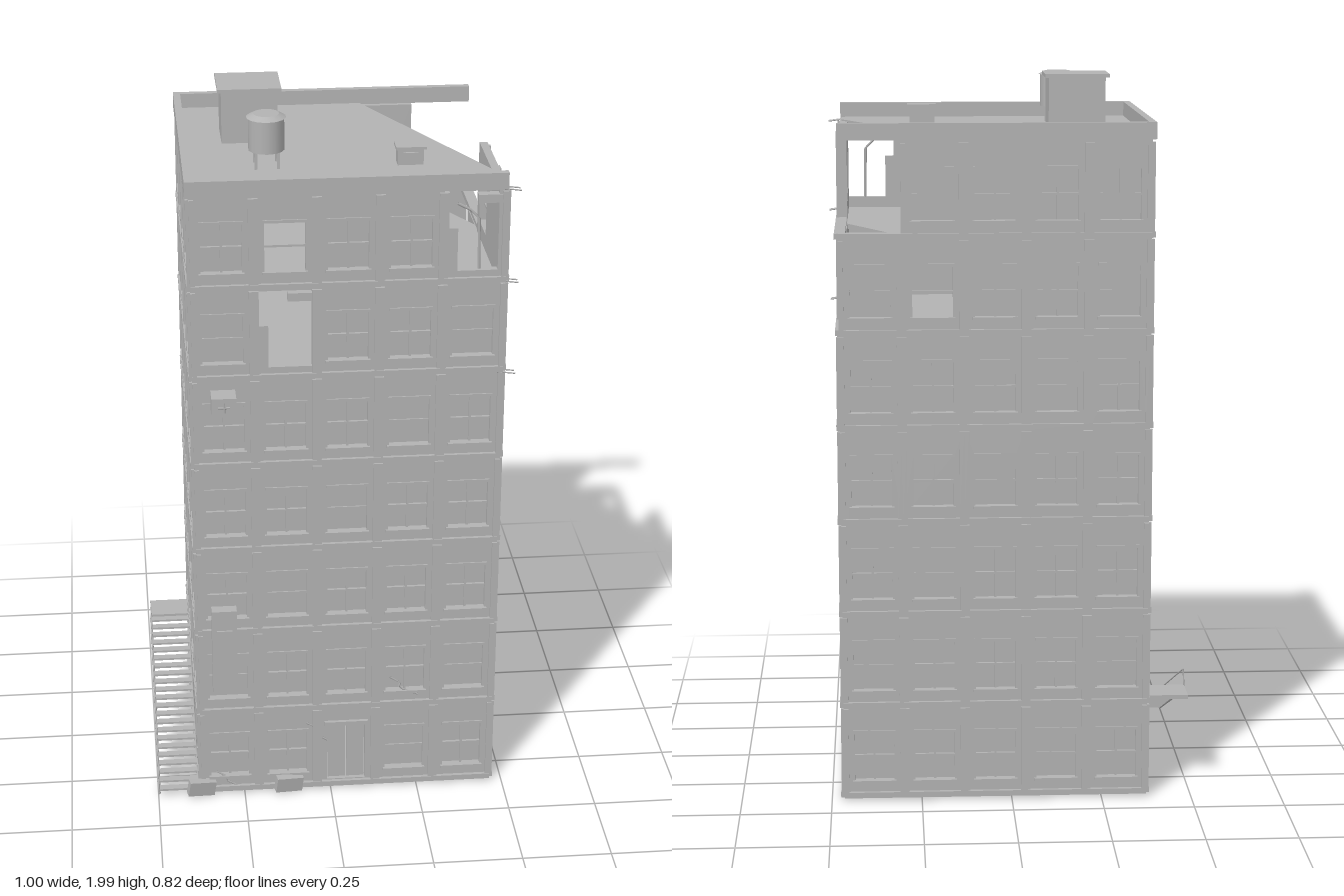
import * as THREE from 'three';

const concrete = new THREE.MeshStandardMaterial({ color: 0xb3b3b3, side: THREE.DoubleSide });
concrete.name = 'concrete grey';

const BASE = 0.02, FLOOR = 0.26, FLOORS = 7;
const CX = 0.045, CZ = -0.027, HX = 0.42, HZ = 0.37;
const ROOF = BASE + FLOOR * FLOORS;

function add(parent, geometry, name, x = 0, y = 0, z = 0) {
  const mesh = new THREE.Mesh(geometry, concrete);
  mesh.name = name;
  mesh.position.set(x, y, z);
  parent.add(mesh);
  return mesh;
}

// Box given by its lower and upper limits on each axis
function block(parent, name, x0, x1, y0, y1, z0, z1) {
  return add(parent, new THREE.BoxGeometry(x1 - x0, y1 - y0, z1 - z0), name,
    (x0 + x1) / 2, (y0 + y1) / 2, (z0 + z1) / 2);
}

// Thin bar running through a list of points
function bar(parent, name, points, r = 0.003) {
  const path = new THREE.CurvePath();
  const v = points.map(p => new THREE.Vector3(...p));
  for (let i = 1; i < v.length; i++) path.add(new THREE.LineCurve3(v[i - 1], v[i]));
  return add(parent, new THREE.TubeGeometry(path, (v.length - 1) * 3, r, 5), name);
}

function rectPath(path, x0, x1, y0, y1) {
  path.moveTo(x0, y0);
  path.lineTo(x1, y0);
  path.lineTo(x1, y1);
  path.lineTo(x0, y1);
  path.closePath();
  return path;
}

// One bay of one storey; state is whole, open, ruin, gone or door
function bay(wall, u0, u1, y, state, variant) {
  block(wall, 'floorBand', u0, u1, y - 0.004, y + 0.012, -0.02, 0.01);
  if (state === 'gone') return;
  const mid = (u0 + u1) / 2;
  for (const [a, b] of [[u0, u0 + 0.013], [u1 - 0.013, u1]])
    block(wall, 'pilaster', a, b, y + 0.012, y + FLOOR - 0.008, -0.02, 0.008);

  if (state === 'ruin') {
    block(wall, 'brokenSill', u0, u1, y, y + 0.03, -0.022, 0);
    block(wall, 'brokenWall', u0, u0 + 0.038, y + 0.03, y + 0.15, -0.022, 0);
    block(wall, 'hangingLintel', u0 + 0.09, u0 + 0.16, y + 0.22, y + 0.243, -0.022, 0.004);
    return;
  }

  const hw = (u1 - u0) * 0.325;
  const low = state === 'door' ? 0.015 : 0.045, high = state === 'door' ? 0.2 : 0.182;
  const y0 = y + low, y1 = y + high;
  const shape = rectPath(new THREE.Shape(), u0, u1, y, y + FLOOR);
  shape.holes.push(rectPath(new THREE.Path(), mid - hw, mid + hw, y0, y1));
  add(wall, new THREE.ExtrudeGeometry(shape, { depth: 0.022, bevelEnabled: false }), 'wallPanel', 0, 0, -0.022);

  if (state === 'door') {
    for (const s of [-1, 1]) {
      const c = mid + s * hw / 2;
      block(wall, 'doorLeaf', c - hw / 2 + 0.002, c + hw / 2 - 0.002, y0, y1, -0.02, -0.012);
    }
    block(wall, 'doorCanopy', mid - hw - 0.008, mid + hw + 0.008, y1, y1 + 0.012, 0, 0.01);
    return;
  }

  // Window frame, sill and glazing
  const rail = y0 + (y1 - y0) * 0.5;
  block(wall, 'windowSill', mid - hw - 0.006, mid + hw + 0.006, y0 - 0.008, y0, -0.01, 0.008);
  block(wall, 'windowHead', mid - hw - 0.004, mid + hw + 0.004, y1, y1 + 0.008, -0.01, 0.004);
  block(wall, 'windowRail', mid - hw, mid + hw, rail - 0.003, rail + 0.003, -0.018, -0.008);
  if (state === 'open') return;
  block(wall, 'windowPane', mid - hw, mid + hw, y0, y1, -0.022, -0.016);
  if (variant) block(wall, 'windowMullion', mid - 0.003, mid + 0.003, y0, y1, -0.018, -0.008);
  else block(wall, 'windowBlind', mid - hw, mid + hw, rail, y1, -0.016, -0.012);
}

// A full side: local x runs along the wall and +z points outwards
function buildWall(root, name, x, z, turn, half, bays, damage) {
  const wall = new THREE.Group();
  wall.name = name;
  wall.position.set(x, 0, z);
  wall.rotation.y = turn;
  const w = 2 * half / bays;
  for (let f = 0; f < FLOORS; f++)
    for (let b = 0; b < bays; b++)
      bay(wall, -half + b * w, -half + (b + 1) * w, BASE + f * FLOOR,
        damage[f + '-' + b] || 'whole', (f * 3 + b * 5 + bays) % 4 !== 0);
  root.add(wall);
}

// Slab whose far corner at +x, -z is broken off by cutX and cutZ
function slab(root, name, top, cutX, cutZ) {
  const x0 = CX - HX + 0.01, x1 = CX + HX - 0.004, z0 = CZ - HZ + 0.004, z1 = CZ + HZ - 0.01;
  const s = new THREE.Shape();
  s.moveTo(x0, -z1);
  s.lineTo(x1, -z1);
  s.lineTo(x1, -z0 - cutZ);
  if (cutX) s.lineTo(x1 - cutX, -z0);
  s.lineTo(x0, -z0);
  s.closePath();
  const g = new THREE.ExtrudeGeometry(s, { depth: 0.014, bevelEnabled: false });
  g.rotateX(-Math.PI / 2);
  add(root, g, name, 0, top - 0.014, 0);
}

function buildRoof(root) {
  const x0 = CX - HX - 0.01, x1 = CX + HX, z0 = CZ - HZ - 0.012, z1 = CZ + HZ + 0.012;
  block(root, 'frontParapet', x0, x1, ROOF, 1.885, z1 - 0.02, z1);
  block(root, 'backParapet', x0, x1, ROOF, 1.885, z0, z0 + 0.02);
  block(root, 'leftParapet', x0, x0 + 0.02, ROOF, 1.885, z0, z1);

  // Stair house with cap
  block(root, 'stairHouse', -0.265, -0.11, ROOF, 1.99, -0.2, -0.065);
  block(root, 'stairHouseCap', -0.275, -0.1, 1.99, 2, -0.21, -0.055);

  // Water tank on legs
  const tank = new THREE.Group();
  tank.name = 'waterTank';
  tank.position.set(-0.155, 0, 0.123);
  add(tank, new THREE.CylinderGeometry(0.049, 0.049, 0.09, 14), 'tankBody', 0, 1.935, 0);
  add(tank, new THREE.CylinderGeometry(0.035, 0.054, 0.01, 14), 'tankLid', 0, 1.985, 0);
  for (const sx of [-1, 1]) for (const sz of [-1, 1])
    block(tank, 'tankLeg', sx * 0.03 - 0.004, sx * 0.03 + 0.004, ROOF, 1.89, sz * 0.03 - 0.004, sz * 0.03 + 0.004);
  root.add(tank);

  // Roof ventilation unit
  block(root, 'roofUnit', 0.195, 0.265, ROOF, 1.89, 0.115, 0.155);
  block(root, 'roofUnitTop', 0.19, 0.272, 1.888, 1.896, 0.11, 0.162);
  block(root, 'roofUnitGrille', 0.21, 0.25, 1.852, 1.88, 0.155, 0.161);
}

function buildStairs(root) {
  const stairs = new THREE.Group();
  stairs.name = 'sideStairs';
  const n = 22, za = -0.24, zb = 0.355, x0 = -0.498, x1 = -0.385;
  block(stairs, 'landing', x0, x1, 0.265, 0.277, -0.33, za);
  for (let i = 0; i < n; i++) {
    const t = (i + 0.5) / n, z = za + (zb - za) * t, y = 0.275 - 0.25 * t;
    block(stairs, 'tread', x0, x1, y - 0.004, y + 0.002, z - 0.011, z + 0.011);
  }
  bar(stairs, 'outerStringer', [[x0, 0.265, za], [x0, 0.02, zb]], 0.004);
  bar(stairs, 'innerStringer', [[x1, 0.265, za], [x1, 0.02, zb]], 0.004);
  bar(stairs, 'handrail', [[x0, 0.27, za], [x0, 0.328, za], [x0, 0.08, zb], [x0, 0.02, zb]], 0.002);
  root.add(stairs);
}

function buildFrontDetails(root) {
  // Hanging sign and air conditioner
  block(root, 'signBoard', -0.338, -0.268, 0.38, 0.64, 0.372, 0.405);
  block(root, 'signPlate', -0.325, -0.281, 0.52, 0.58, 0.405, 0.41);
  for (const y of [0.45, 0.57]) block(root, 'signBracket', -0.308, -0.298, y, y + 0.015, 0.34, 0.372);
  block(root, 'airConditioner', -0.327, -0.26, 1.235, 1.288, 0.34, 0.402);
  bar(root, 'airConditionerVent', [[-0.31, 1.262, 0.403], [-0.277, 1.262, 0.403]], 0.003);
  bar(root, 'airConditionerVent', [[-0.293, 1.247, 0.403], [-0.293, 1.277, 0.403]], 0.003);

  // Fallen rubble
  for (const [x, y, r] of [[-0.375, 0.037, -0.15], [-0.122, 0.037, -0.12]]) {
    const chunk = add(root, new THREE.BoxGeometry(0.078, 0.046, 0.022), 'rubble', x, y, 0.358);
    chunk.rotation.set(0.1, 0.2, r);
  }

  // Cracks in the wall
  const z = CZ + HZ + 0.002;
  bar(root, 'crack', [[0.17, 0.37, z], [0.2, 0.35, z], [0.195, 0.335, z], [0.25, 0.31, z]], 0.0025);
  bar(root, 'crack', [[-0.07, 0.23, z], [-0.045, 0.215, z], [-0.05, 0.195, z], [-0.01, 0.17, z]], 0.0025);
  bar(root, 'crack', [[-0.33, 0.08, z], [-0.3, 0.06, z], [-0.305, 0.05, z], [-0.26, 0.025, z]], 0.0025);

  // Exposed reinforcement at the broken corner
  for (const y of [1.31, 1.575, 1.835]) for (const rz of [0.325, 0.345])
    bar(root, 'reinforcement', [[0.45, y + 0.004, rz], [0.5, y - 0.003, rz]], 0.002);
  bar(root, 'reinforcement', [[0.335, 1.795, 0.33], [0.392, 1.765, 0.33], [0.395, 1.6, 0.33]], 0.004);
}

export function createModel() {
  const root = new THREE.Group();
  root.name = 'ruinedApartmentBlock';

  buildWall(root, 'frontWall', CX, CZ + HZ, 0, HX, 5,
    { '0-2': 'door', '5-1': 'ruin', '6-1': 'open', '6-4': 'ruin' });
  buildWall(root, 'leftWall', CX + HX, CZ, Math.PI / 2, HZ, 4,
    { '5-2': 'open', '5-3': 'gone', '6-1': 'open', '6-2': 'gone', '6-3': 'gone' });
  buildWall(root, 'backWall', CX, CZ - HZ, Math.PI, HX, 5,
    { '5-1': 'open', '6-0': 'gone' });
  buildWall(root, 'rightWall', CX - HX, CZ, -Math.PI / 2, HZ, 4,
    { '5-0': 'ruin', '5-1': 'open', '5-2': 'ruin' });

  // Floors, with the upper ones broken at one corner
  slab(root, 'groundSlab', BASE + 0.012, 0, 0);
  for (let f = 1; f <= 4; f++) slab(root, 'floorSlab', BASE + f * FLOOR, 0, 0);
  slab(root, 'sixthFloorSlab', BASE + 5 * FLOOR, 0.06, 0.12);
  slab(root, 'seventhFloorSlab', BASE + 6 * FLOOR, 0.19, 0.35);
  slab(root, 'roofSlab', ROOF + 0.004, 0.315, 0.635);

  buildRoof(root);
  buildStairs(root);
  buildFrontDetails(root);
  return root;
}
